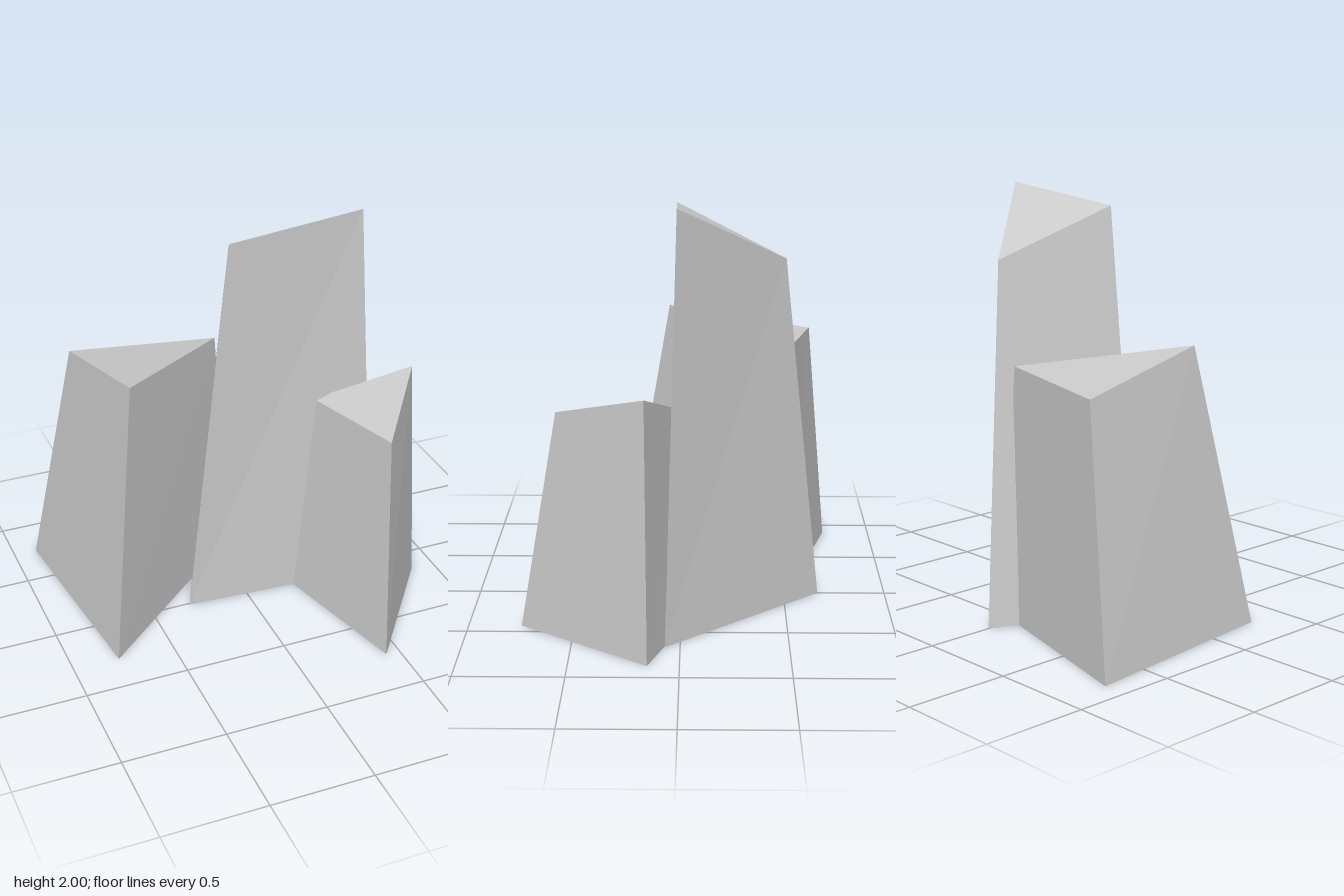
import * as THREE from 'three';

// Tapered crystal: base corners [x, z] and slanted top corners [x, y, z],
// both listed counter-clockwise as seen from above.
function crystal(name, base, top, material) {
  const low = base.map(([x, z]) => [x, 0, z]);
  const n = low.length;
  const positions = [];
  const tri = (a, b, c) => positions.push(...a, ...b, ...c);

  // Sides
  for (let i = 0; i < n; i++) {
    const j = (i + 1) % n;
    tri(low[i], low[j], top[j]);
    tri(low[i], top[j], top[i]);
  }
  // Slanted cap and flat underside
  for (let i = 1; i < n - 1; i++) {
    tri(top[0], top[i], top[i + 1]);
    tri(low[0], low[i + 1], low[i]);
  }

  const geometry = new THREE.BufferGeometry();
  geometry.setAttribute('position', new THREE.Float32BufferAttribute(positions, 3));
  geometry.computeVertexNormals();
  const mesh = new THREE.Mesh(geometry, material);
  mesh.name = name;
  return mesh;
}

export function createModel() {
  const group = new THREE.Group();
  group.name = 'crystalCluster';
  const material = new THREE.MeshStandardMaterial({ color: 0xcccccc, flatShading: true });

  group.add(
    crystal('tallCrystal',
      [[-0.305, 0.01], [0.675, 0.07], [0, -0.67]],
      [[-0.09, 1.93, 0.025], [0.585, 2, 0.015], [0.12, 1.7, -0.485]], material),
    crystal('wideCrystal',
      [[-0.885, -0.755], [-0.775, 0.295], [0.11, -0.49]],
      [[-0.67, 1.195, -0.645], [-0.595, 1.33, 0.07], [0.03, 1.215, -0.47]], material),
    crystal('smallCrystal',
      [[0.43, 0.75], [0.88, 0.145], [0.22, -0.08]],
      [[0.5, 1.065, 0.565], [0.81, 1.205, 0.155], [0.36, 1.04, 0]], material)
  );
  return group;
}
